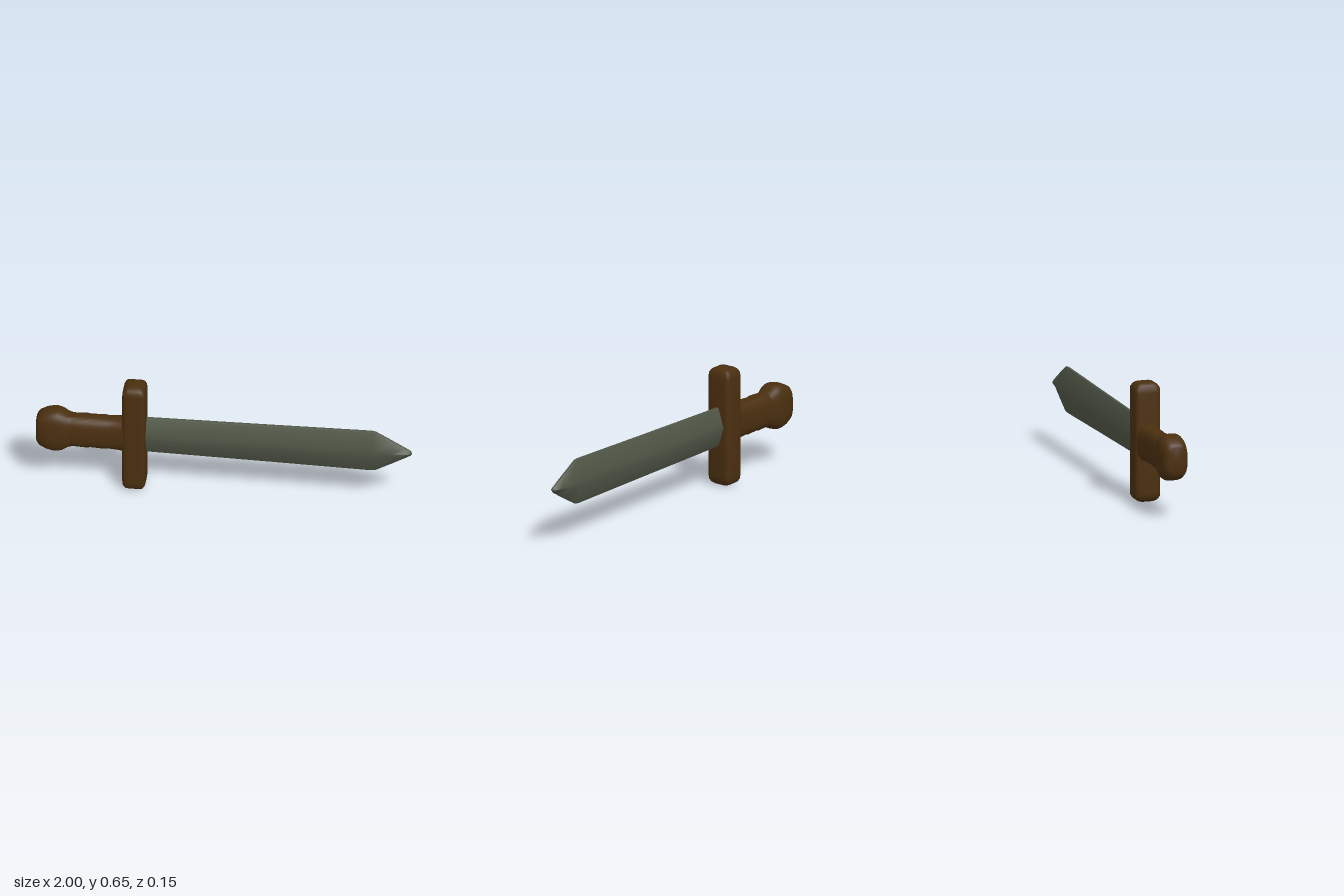
import * as THREE from 'three';
import { toCreasedNormals } from 'three/addons/utils/BufferGeometryUtils.js';

// Closed loft along x: ring holds unit [y, z] points, sections hold [x, half height, half depth]
function loft(ring, sections, crease) {
  const n = ring.length, pos = [], idx = [];
  for (const [x, h, d] of sections)
    for (const [y, z] of ring) pos.push(x, y * h, z * d);
  for (let i = 0; i < sections.length - 1; i++)
    for (let j = 0; j < n; j++) {
      const a = i * n + j, d = i * n + (j + 1) % n;
      idx.push(a, d, a + n, d, d + n, a + n);
    }
  const last = (sections.length - 1) * n, c = pos.length / 3;
  pos.push(sections[0][0], 0, 0, sections[sections.length - 1][0], 0, 0);
  for (let j = 0; j < n; j++) {
    const k = (j + 1) % n;
    idx.push(c, k, j, c + 1, last + j, last + k);
  }
  const g = new THREE.BufferGeometry();
  g.setAttribute('position', new THREE.Float32BufferAttribute(pos, 3));
  g.setIndex(idx);
  return toCreasedNormals(g, crease);
}

// Rounded rectangle ring; a higher power gives squarer corners
function roundedRing(power, count = 32) {
  const f = v => Math.sign(v) * Math.abs(v) ** (2 / power);
  return Array.from({ length: count }, (_, i) => {
    const a = i / count * Math.PI * 2;
    return [f(Math.cos(a)), f(Math.sin(a))];
  });
}

export function createModel() {
  const group = new THREE.Group();
  const wood = new THREE.MeshStandardMaterial({ color: 0x4a2f0f });
  const steel = new THREE.MeshStandardMaterial({ color: 0x4f5546 });
  const add = (name, geometry, material, x, y) => {
    const mesh = new THREE.Mesh(geometry, material);
    mesh.name = name;
    mesh.position.set(x, y, 0);
    group.add(mesh);
  };

  // Blade: flattened diamond with blunt edges, widening towards the point
  const diamond = [
    [1, 0], [0.985, 0.15], [0.93, 0.24], [0.06, 0.97],
    [-0.06, 0.97], [-0.93, 0.24], [-0.985, 0.15],
    [-1, 0], [-0.985, -0.15], [-0.93, -0.24], [-0.06, -0.97],
    [0.06, -0.97], [0.93, -0.24], [0.985, -0.15],
  ];
  add('blade', loft(diamond, [
    [-0.48, 0.107, 0.042], [0.2, 0.116, 0.042], [0.78, 0.125, 0.041], [0.805, 0.122, 0.04],
    [0.9, 0.068, 0.034], [0.965, 0.03, 0.025], [0.99, 0.016, 0.015], [1, 0.004, 0.004],
  ], 0.5), steel, 0, 0.33);

  // Crossguard: upright bar with softened ends
  const half = [[0.0, 0.0625, 0.071], [0.27, 0.0625, 0.071], [0.293, 0.06, 0.07],
    [0.31, 0.051, 0.06], [0.32, 0.039, 0.044], [0.324, 0.026, 0.03]];
  const bar = half.slice(1).reverse().map(([x, h, d]) => [-x, h, d]).concat(half);
  add('crossguard', loft(roundedRing(6), bar, 0.7).rotateZ(Math.PI / 2), wood, -0.4775, 0.325);

  // Grip with shallow swells, flaring slightly into the guard
  add('grip', loft(roundedRing(2.8), [
    [-0.86, 0.1, 0.061], [-0.8, 0.093, 0.06], [-0.73, 0.095, 0.063], [-0.71, 0.092, 0.06],
    [-0.64, 0.095, 0.062], [-0.62, 0.092, 0.059], [-0.57, 0.095, 0.062],
    [-0.545, 0.098, 0.064], [-0.5, 0.11, 0.066],
  ], 0.8), wood, 0, 0.328);

  // Pommel: bulging end knob
  add('pommel', loft(roundedRing(3), [
    [-1, 0.07, 0.042], [-0.995, 0.082, 0.054], [-0.98, 0.098, 0.066], [-0.945, 0.116, 0.074],
    [-0.91, 0.125, 0.075], [-0.885, 0.125, 0.075], [-0.86, 0.117, 0.072],
    [-0.835, 0.101, 0.064], [-0.81, 0.093, 0.058],
  ], 0.9), wood, 0, 0.328);

  return group;
}
